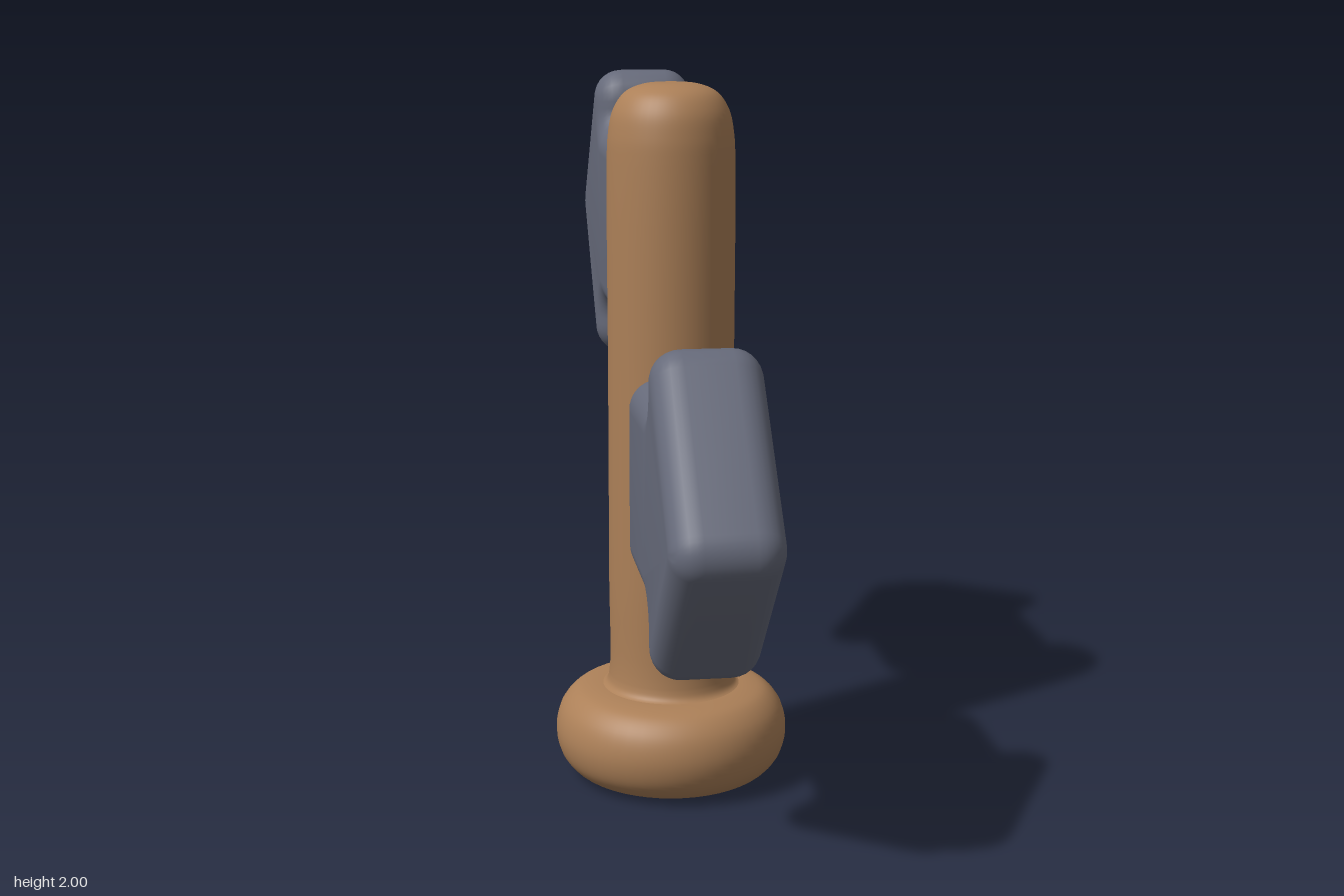
import * as THREE from 'three';
import { toCreasedNormals } from 'three/addons/utils/BufferGeometryUtils.js';

const THICKNESS = 0.29;
const BEVEL = 0.08;

// Closed outline whose corners [x, y, radius] are replaced by true arcs
function roundedOutline(corners, steps = 8) {
  const points = [];
  corners.forEach(([x, y, r], i) => {
    const p = new THREE.Vector2(x, y);
    const [ax, ay] = corners.at(i - 1);
    const [bx, by] = corners[(i + 1) % corners.length];
    const u = new THREE.Vector2(ax, ay).sub(p).normalize();
    const v = new THREE.Vector2(bx, by).sub(p).normalize();
    const half = Math.acos(u.dot(v)) / 2;
    const centre = u.clone().add(v).normalize().multiplyScalar(r / Math.sin(half)).add(p);
    const start = u.clone().multiplyScalar(r / Math.tan(half)).add(p).sub(centre);
    const sweep = Math.sign(u.cross(v)) * -(Math.PI - 2 * half);
    for (let k = 0; k <= steps; k++) {
      points.push(start.clone().rotateAround(new THREE.Vector2(), sweep * k / steps).add(centre));
    }
  });
  return new THREE.Shape(points);
}

// Soft arrow board pointing along +x
function arrowGeometry() {
  const outline = roundedOutline([
    [0.14, -0.2725, 0.09],
    [0.555, -0.2725, 0.05],
    [0.555, -0.571, 0.09],
    [1.09, 0, 0.09],
    [0.555, 0.571, 0.09],
    [0.555, 0.2725, 0.05],
    [0.14, 0.2725, 0.09],
  ]);
  const geometry = new THREE.ExtrudeGeometry(outline, {
    depth: THICKNESS - 2 * BEVEL,
    bevelSize: BEVEL,
    bevelThickness: BEVEL,
    bevelOffset: -BEVEL,
    bevelSegments: 7,
  });
  geometry.translate(0, 0, BEVEL - THICKNESS / 2);
  return toCreasedNormals(geometry, 0.7);
}

// Smooth turned solid from profile points [radius, y], bottom to top
function turned(profile) {
  const curve = new THREE.CatmullRomCurve3(
    profile.map(([r, y]) => new THREE.Vector3(r, y, 0)), false, 'centripetal');
  const points = curve.getPoints(60).map((p) => new THREE.Vector2(Math.max(p.x, 0), p.y));
  return new THREE.LatheGeometry(points, 48);
}

export function createModel() {
  const model = new THREE.Group();
  model.name = 'signpost';

  const wood = new THREE.MeshStandardMaterial({ color: 0xac8058 });
  wood.name = 'wood';
  const slate = new THREE.MeshStandardMaterial({ color: 0x666a7a });
  slate.name = 'slate';

  const add = (name, geometry, material) => {
    const mesh = new THREE.Mesh(geometry, material);
    mesh.name = name;
    model.add(mesh);
    return mesh;
  };

  // Rounded foot
  add('base', turned([
    [0, 0], [0.12, 0], [0.23, 0.003], [0.28, 0.02], [0.32, 0.065], [0.336, 0.135],
    [0.32, 0.205], [0.28, 0.25], [0.23, 0.266], [0.12, 0.27], [0, 0.27],
  ]), wood);

  // Post with a small flare at the foot and a softly domed top
  add('post', turned([
    [0.215, 0.262], [0.19, 0.275], [0.18, 0.305], [0.179, 0.6], [0.178, 1.2], [0.178, 1.78],
    [0.174, 1.86], [0.16, 1.925], [0.128, 1.972], [0.075, 1.995], [0, 2],
  ]), wood);

  // Two arrows pointing opposite ways
  const arrow = arrowGeometry();
  [['lowerArrow', 0.9425, -Math.PI / 3], ['upperArrow', 1.5675, Math.PI * 2 / 3]]
    .forEach(([name, y, turn]) => {
      const mesh = add(name, arrow, slate);
      mesh.position.y = y;
      mesh.rotation.y = turn;
    });

  return model;
}
